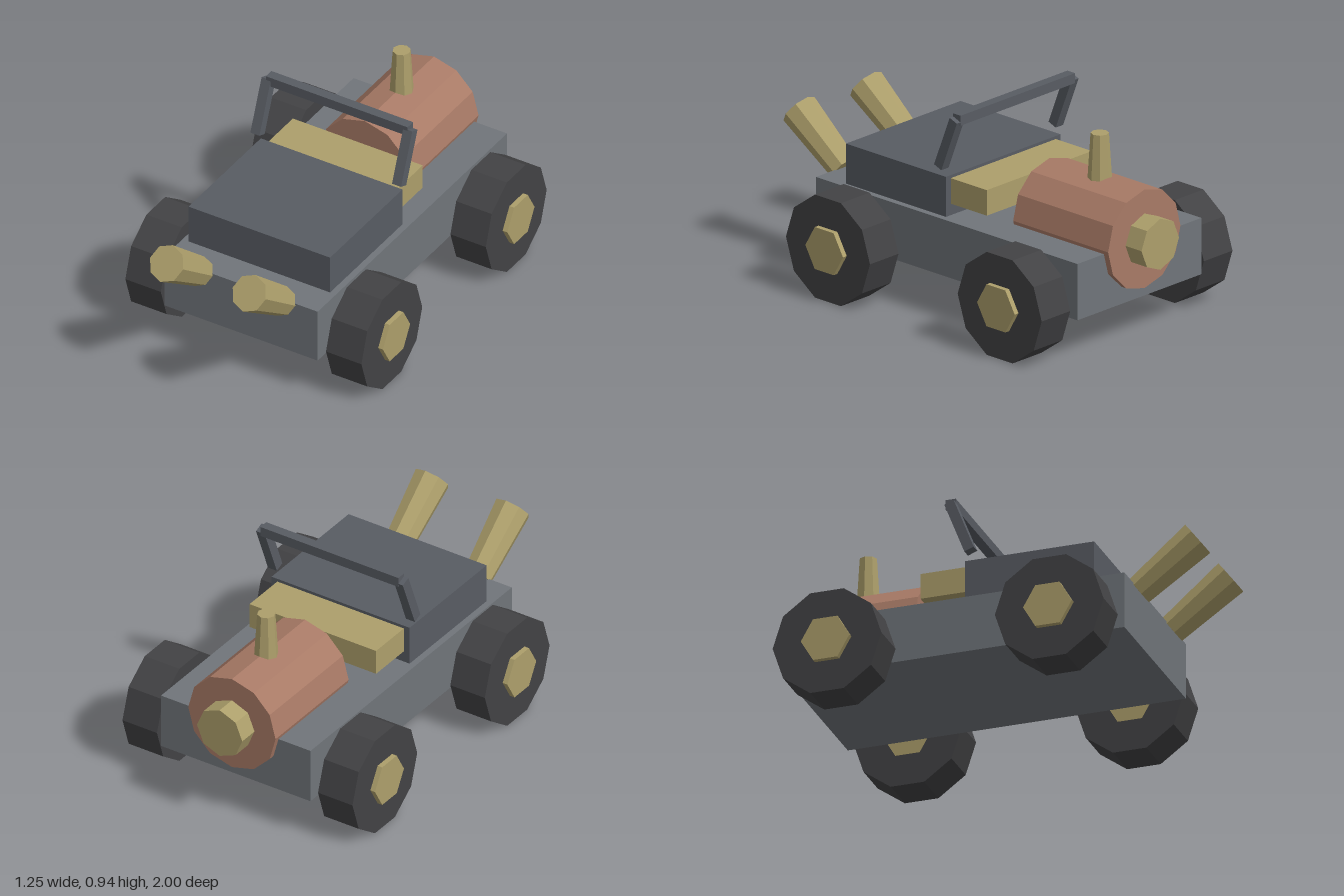
import * as THREE from 'three';

const mat = (color) => new THREE.MeshStandardMaterial({ color, flatShading: true });

export function createModel() {
  const model = new THREE.Group();
  model.name = 'steamBuggy';
  const grey = mat(0x70757a), darkGrey = mat(0x585c63), rubber = mat(0x424244);
  const brass = mat(0xad9f6b), copper = mat(0xa87a66);

  const add = (name, geometry, material, x, y, z) => {
    const mesh = new THREE.Mesh(geometry, material);
    mesh.name = name;
    mesh.position.set(x, y, z);
    model.add(mesh);
    return mesh;
  };
  const box = (w, h, d) => new THREE.BoxGeometry(w, h, d);
  const cyl = (rTop, rBottom, h, sides) => new THREE.CylinderGeometry(rTop, rBottom, h, sides);

  // Body
  add('chassis', box(0.78, 0.26, 1.555), grey, 0, 0.32, -0.098);
  add('hood', box(0.72, 0.19, 0.595), darkGrey, 0, 0.54, 0.232);
  add('dashboard', box(0.66, 0.118, 0.22), brass, 0, 0.562, -0.17);

  // Boiler lying along z, with end cap and chimney
  const boilerY = 0.467;
  add('boiler', cyl(0.2275, 0.2275, 0.565, 12).rotateX(Math.PI / 2), copper, 0, boilerY, -0.6225);
  add('boilerCap', cyl(0.118, 0.118, 0.12, 8).rotateX(Math.PI / 2), brass, 0, boilerY, -0.94);
  add('chimney', cyl(0.04, 0.054, 0.22, 8), brass, 0, 0.78, -0.64);

  // Windscreen top bar
  add('windscreenBar', box(0.72, 0.046, 0.046), darkGrey, 0, 0.917, -0.13);

  for (const side of [1, -1]) {
    // Leaning windscreen posts
    add('windscreenPost', box(0.046, 0.256, 0.046), darkGrey, side * 0.36, 0.798, -0.084)
      .rotation.x = -0.37;

    // Flared lamps tilted up and forward
    add('lamp', cyl(0.084, 0.067, 0.34, 8), brass, side * 0.21, 0.543, 0.816)
      .rotation.x = 0.92;

    // Wheels and hubs
    for (const z of [0.41, -0.612]) {
      add('wheel', cyl(0.25, 0.25, 0.18, 10).rotateZ(Math.PI / 2), rubber, side * 0.51, 0.238, z);
      add('hub', cyl(0.112, 0.112, 0.205, 6).rotateZ(Math.PI / 2), brass, side * 0.5215, 0.241, z);
    }
  }
  return model;
}
